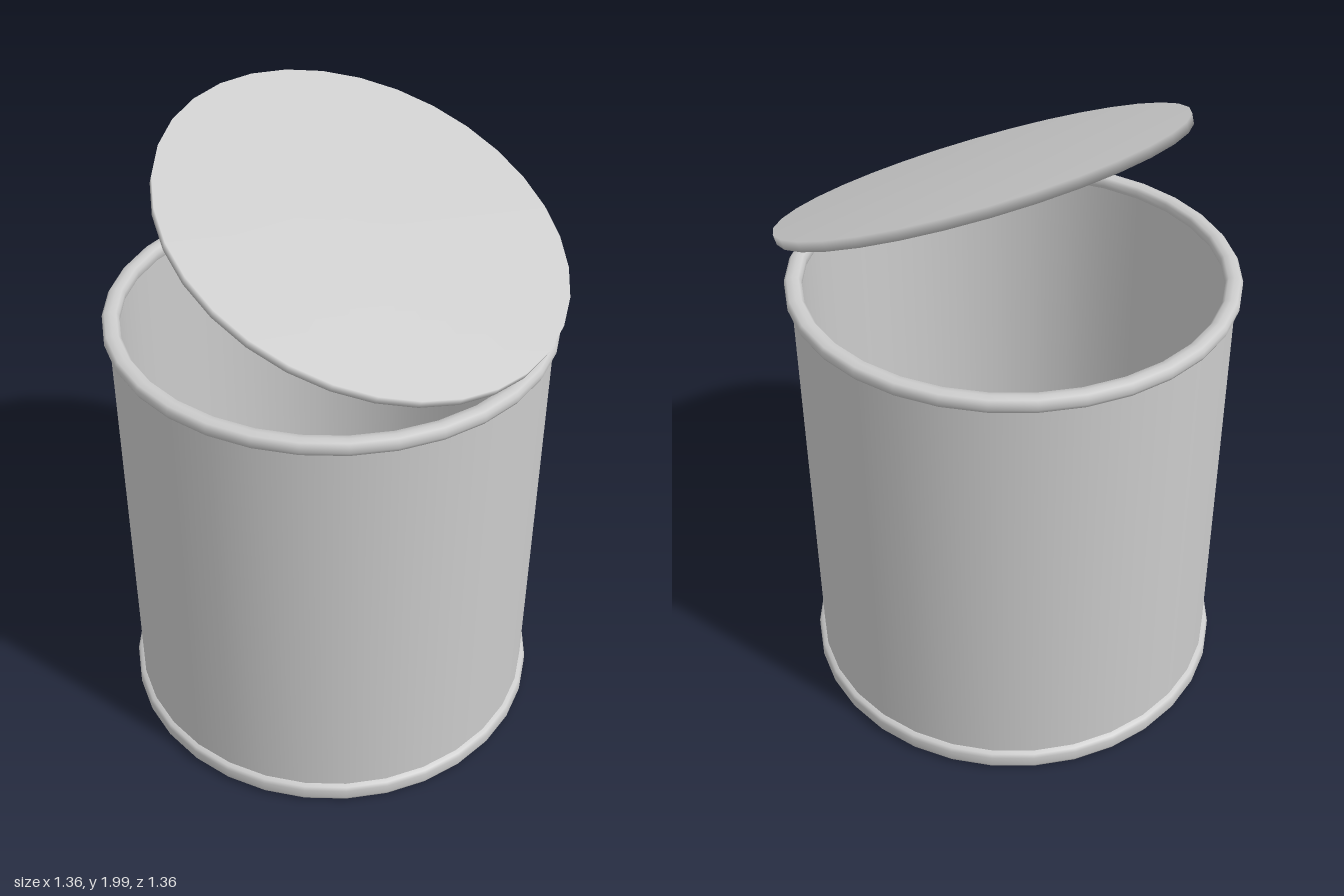
import * as THREE from 'three';

const SIDES = 32;

export function createModel() {
  const model = new THREE.Group();
  const can = new THREE.Group();
  can.name = 'can';
  model.add(can);
  const material = new THREE.MeshStandardMaterial({ color: 0xcccccc, side: THREE.DoubleSide });

  // Revolves [radius, height] points, listed from bottom to top on the outside
  function turned(name, points, parent) {
    const profile = points.map(([r, y]) => new THREE.Vector2(r, y));
    const mesh = new THREE.Mesh(new THREE.LatheGeometry(profile, SIDES), material);
    mesh.name = name;
    parent.add(mesh);
    return mesh;
  }

  // Walls and floor
  turned('outerWall', [[0.66, 0.03], [0.66, 1.42]], can);
  turned('innerWall', [[0.63, 1.42], [0.63, 0.03]], can);
  turned('floor', [[0.63, 0.03], [0, 0.03]], can);
  turned('base', [[0, 0], [0.66, 0]], can);

  // Rolled seams at the foot and the mouth
  turned('bottomRim', [[0.66, 0], [0.672, 0.008], [0.678, 0.02], [0.678, 0.05],
    [0.672, 0.062], [0.658, 0.067]], can);
  turned('topRim', [[0.658, 1.403], [0.67, 1.408], [0.676, 1.42], [0.676, 1.437], [0.668, 1.447],
    [0.65, 1.45], [0.633, 1.447], [0.625, 1.437], [0.625, 1.42], [0.632, 1.405]], can);

  // Cut lid, tipped down toward the front left, with softly shaded edges
  const lid = turned('lid', [[0, -0.015], [0.62, -0.015], [0.622, 0.015], [0, 0.015]], model);
  const normal = new THREE.Vector3(0.1, 0.91, 0.385).normalize();
  lid.quaternion.setFromUnitVectors(new THREE.Vector3(0, 1, 0), normal);
  lid.position.set(0.056, 1.73, 0.09);

  return model;
}
